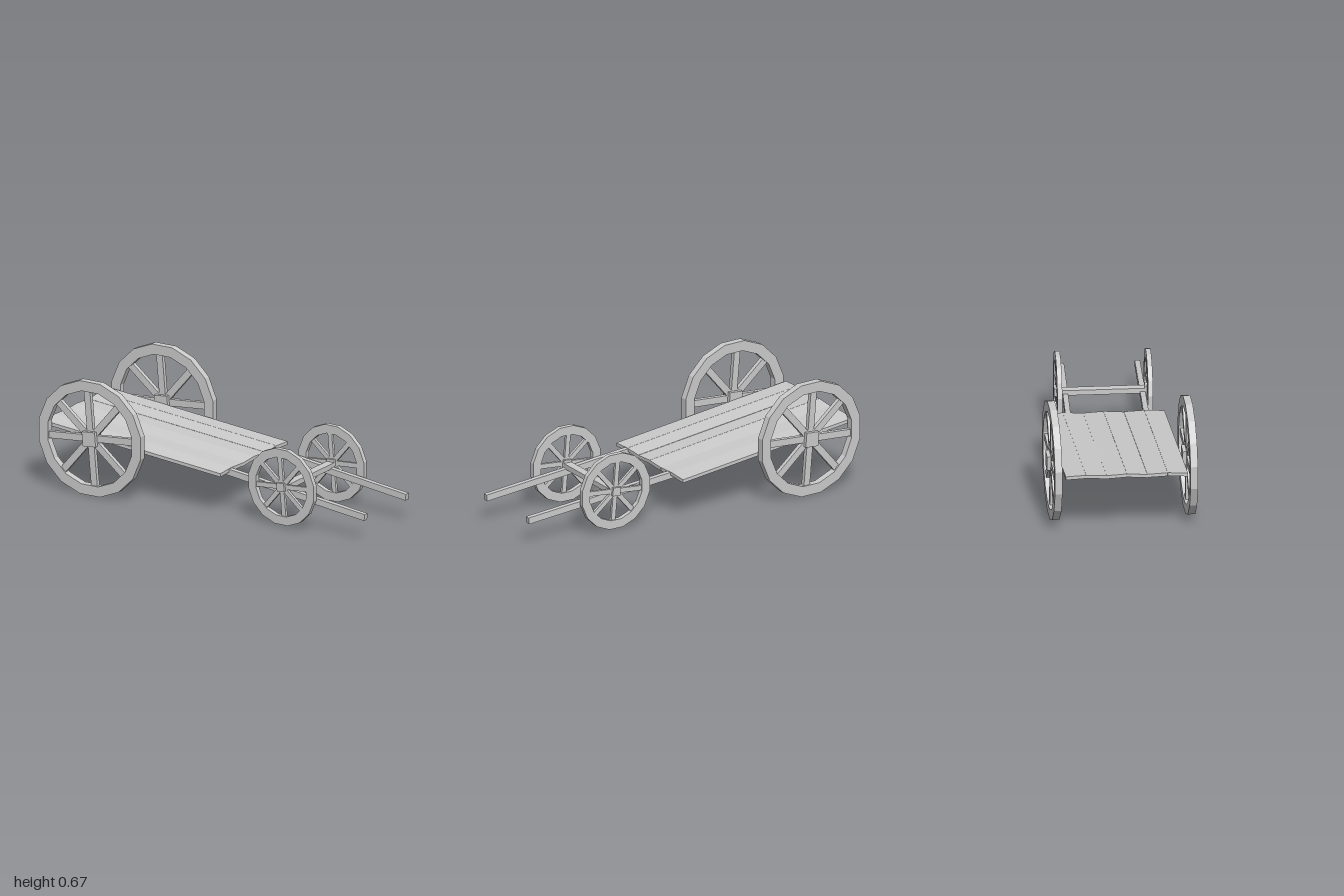
import * as THREE from 'three';

const material = new THREE.MeshStandardMaterial({ color: 0xcccccc, flatShading: true });
const V = (x, y, z) => new THREE.Vector3(x, y, z);

function part(name, geometry, parent) {
  const mesh = new THREE.Mesh(geometry, material);
  mesh.name = name;
  parent.add(mesh);
  return mesh;
}

// Square timber between two points
function beam(name, a, b, width, height, parent) {
  const mesh = part(name, new THREE.BoxGeometry(width, height, a.distanceTo(b)), parent);
  mesh.position.copy(a).add(b).multiplyScalar(0.5);
  mesh.lookAt(b);
  return mesh;
}

function polygon(radius, sides) {
  return Array.from({ length: sides }, (_, i) => {
    const a = ((i + 0.5) / sides) * Math.PI * 2;
    return new THREE.Vector2(radius * Math.cos(a), radius * Math.sin(a));
  });
}

// Faceted rim, eight flat spokes and a square hub
function wheel(name, { outer, inner, depth, spoke, hub }, center, heading, parent) {
  const group = new THREE.Group();
  group.name = name;
  const shape = new THREE.Shape(polygon(outer, 16));
  shape.holes.push(new THREE.Path(polygon(inner, 16).reverse()));
  const rim = new THREE.ExtrudeGeometry(shape, { depth, bevelEnabled: false });
  part('rim', rim.translate(0, 0, -depth / 2), group);

  const turn = THREE.MathUtils.degToRad(-5);
  const reach = inner + (outer - inner) * 0.3;
  for (let i = 0; i < 8; i++) {
    const geometry = new THREE.BoxGeometry(reach, spoke, depth * 0.6);
    geometry.translate(reach / 2, 0, 0).rotateZ(turn + (i * Math.PI) / 4);
    part('spoke', geometry, group);
  }
  part('hub', new THREE.BoxGeometry(hub, hub, depth * 1.6).rotateZ(turn), group);

  group.position.copy(center);
  group.rotation.y = THREE.MathUtils.degToRad(heading + 90);
  parent.add(group);
}

export function createModel() {
  const cart = new THREE.Group();
  cart.name = 'cart';

  // Sloping deck of six planks, each rolled a little differently
  const corner = V(-0.886, 0.365, -0.496);
  const across = V(0.516, 0, -0.455);
  const along = V(0.797, -0.115, 0.843);
  const rolls = [0.006, -0.005, 0.008, -0.007, 0.005, -0.006];
  const deck = new THREE.Group();
  deck.name = 'deck';
  cart.add(deck);
  rolls.forEach((roll, i) => {
    const side = across.clone().divideScalar(6).multiplyScalar(0.995);
    side.y = roll;
    const middle = corner.clone()
      .addScaledVector(across, (i + 0.5) / 6)
      .addScaledVector(along, 0.5);
    const matrix = new THREE.Matrix4().makeBasis(side, V(0, 0.02, 0), along).setPosition(middle);
    part('plank', new THREE.BoxGeometry(1, 1, 1).applyMatrix4(matrix), deck);
  });

  // Pulling shafts under the front edge of the deck
  beam('rightShaft', V(-0.03, 0.243, 0.255), V(0.582, 0.148, 0.988), 0.03, 0.038, cart);
  beam('leftShaft', V(0.3, 0.243, -0.035), V(0.9, 0.148, 0.702), 0.03, 0.038, cart);

  // Front axle
  beam('frontAxle', V(0.215, 0.228, 0.582), V(0.58, 0.228, 0.262), 0.05, 0.03, cart);

  // Large rear wheels and small front wheels
  const large = { outer: 0.34, inner: 0.28, depth: 0.042, spoke: 0.04, hub: 0.085 };
  const small = { outer: 0.226, inner: 0.174, depth: 0.028, spoke: 0.028, hub: 0.05 };
  wheel('rightRearWheel', large, V(-0.68, 0.337, -0.224), 43.2, cart);
  wheel('leftRearWheel', large, V(-0.118, 0.337, -0.742), 43.2, cart);
  wheel('rightFrontWheel', small, V(0.206, 0.234, 0.59), 40.2, cart);
  wheel('leftFrontWheel', small, V(0.59, 0.234, 0.254), 40.2, cart);

  return cart;
}
